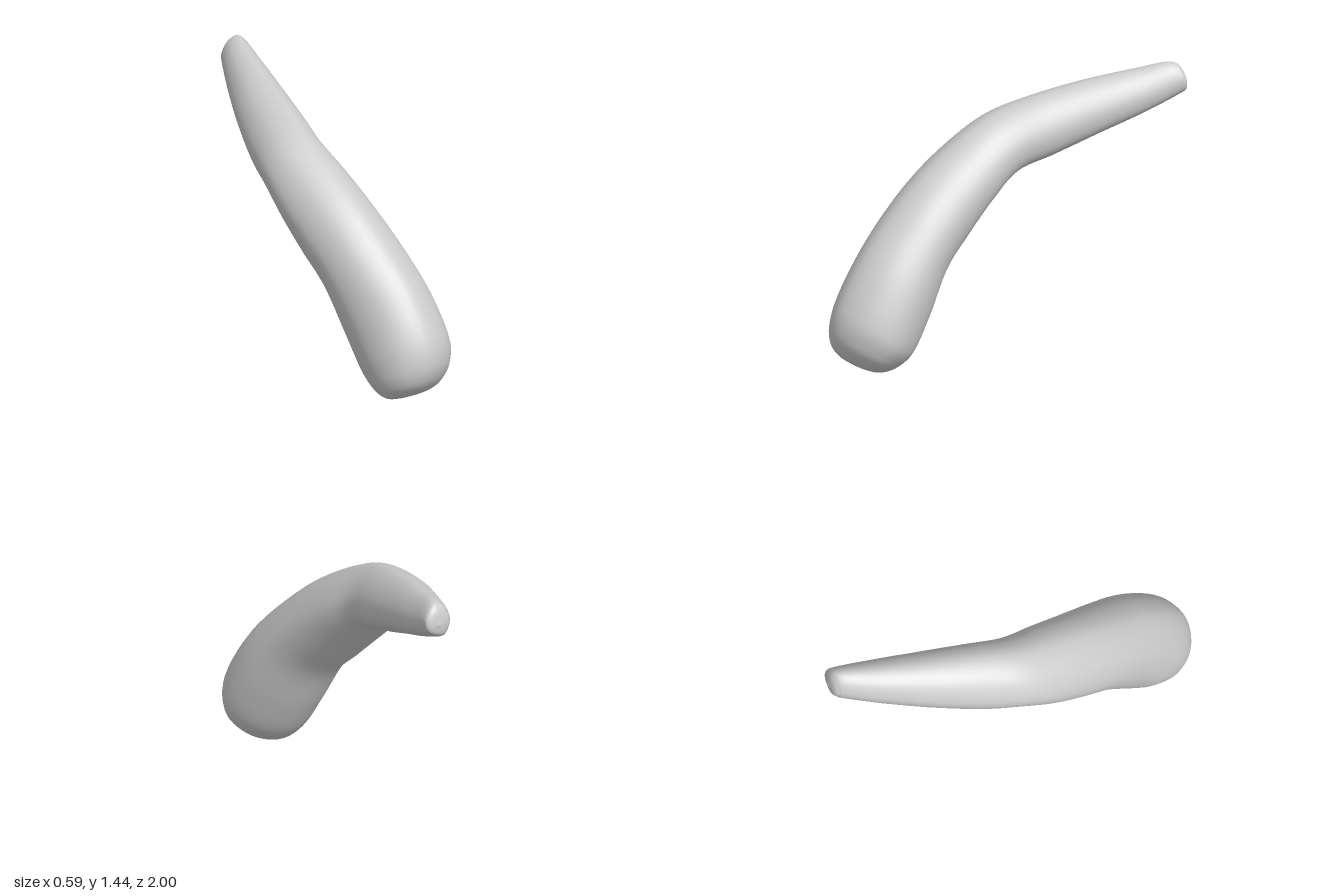
import * as THREE from 'three';

// Cross-sections from the fat lower end to the thin tip:
// [upper z, upper y, lower z, lower y, right x, left x]
const SECTIONS = [
  [0.885, 0.062, 0.885, 0.062, 0.03, 0.03],
  [0.945, 0.105, 0.80, 0.018, -0.06, 0.11],
  [0.985, 0.165, 0.735, 0.0, -0.118, 0.18],
  [1.0, 0.25, 0.66, 0.018, -0.158, 0.248],
  [0.97, 0.38, 0.57, 0.085, -0.188, 0.293],
  [0.82, 0.62, 0.46, 0.255, -0.215, 0.27],
  [0.62, 0.83, 0.33, 0.49, -0.25, 0.212],
  [0.42, 1.0, 0.19, 0.63, -0.28, 0.165],
  [0.2, 1.14, 0.05, 0.77, -0.296, 0.125],
  [0.0, 1.24, -0.1, 0.895, -0.285, 0.092],
  [-0.2, 1.305, -0.3, 0.963, -0.235, 0.118],
  [-0.5, 1.37, -0.55, 1.065, -0.14, 0.16],
  [-0.75, 1.41, -0.78, 1.16, -0.035, 0.197],
  [-0.94, 1.434, -0.97, 1.252, 0.06, 0.218],
  [-0.975, 1.405, -0.99, 1.27, 0.085, 0.21],
  [-0.995, 1.345, -0.998, 1.32, 0.135, 0.165],
  [-1.0, 1.33, -1.0, 1.33, 0.15, 0.15],
];
const RINGS = 96, SIDES = 48;

// Unit outlines, anticlockwise from the left side: round for the fat end,
// and with a slanted flat underside for the arm
const loop = (points) => new THREE.CatmullRomCurve3(
  points.map(([x, y]) => new THREE.Vector3(x, y, 0)), true);
const FAT = loop([[1, 0], [0.67, 0.68], [0, 1], [-0.7, 0.7],
  [-1, 0], [-0.75, -0.71], [-0.1, -1], [0.64, -0.7]]);
const ARM = loop([[1, 0.05], [0.64, 0.7], [0.08, 1], [-0.62, 0.7],
  [-1, 0], [-0.84, -0.6], [-0.38, -1], [0.84, -0.56]]);

// Smooth curve through two columns of the section list
const track = (a, b) => new THREE.CatmullRomCurve3(
  SECTIONS.map((s) => new THREE.Vector3(0, s[b], s[a])));

function bentClubGeometry() {
  const upper = track(0, 1), lower = track(2, 3);
  const width = new THREE.CatmullRomCurve3(
    SECTIONS.map((s, i) => new THREE.Vector3(s[4], s[5], i * 0.1)));
  const pos = [], index = [];
  for (let i = 0; i <= RINGS; i++) {
    const t = i / RINGS;
    const u = upper.getPoint(t), l = lower.getPoint(t), w = width.getPoint(t);
    const mid = u.clone().add(l).multiplyScalar(0.5);
    const half = u.clone().sub(l).multiplyScalar(0.5);
    const cx = (w.x + w.y) / 2, rx = (w.y - w.x) / 2;
    const blend = THREE.MathUtils.smoothstep(t, 0.3, 0.6);
    for (let j = 0; j < SIDES; j++) {
      const p = FAT.getPoint(j / SIDES).lerp(ARM.getPoint(j / SIDES), blend);
      pos.push(cx + rx * p.x, mid.y + half.y * p.y, mid.z + half.z * p.y);
      if (i < RINGS) {
        const k = (j + 1) % SIDES, a = i * SIDES, b = a + SIDES;
        index.push(a + j, b + j, a + k, a + k, b + j, b + k);
      }
    }
  }
  const geo = new THREE.BufferGeometry();
  geo.setAttribute('position', new THREE.Float32BufferAttribute(pos, 3));
  geo.setIndex(index);
  geo.computeVertexNormals();
  return geo;
}

export function createModel() {
  const group = new THREE.Group();
  const body = new THREE.Mesh(bentClubGeometry(),
    new THREE.MeshStandardMaterial({ color: 0xcccccc }));
  body.name = 'bentTaperedBody';
  group.add(body);
  return group;
}
